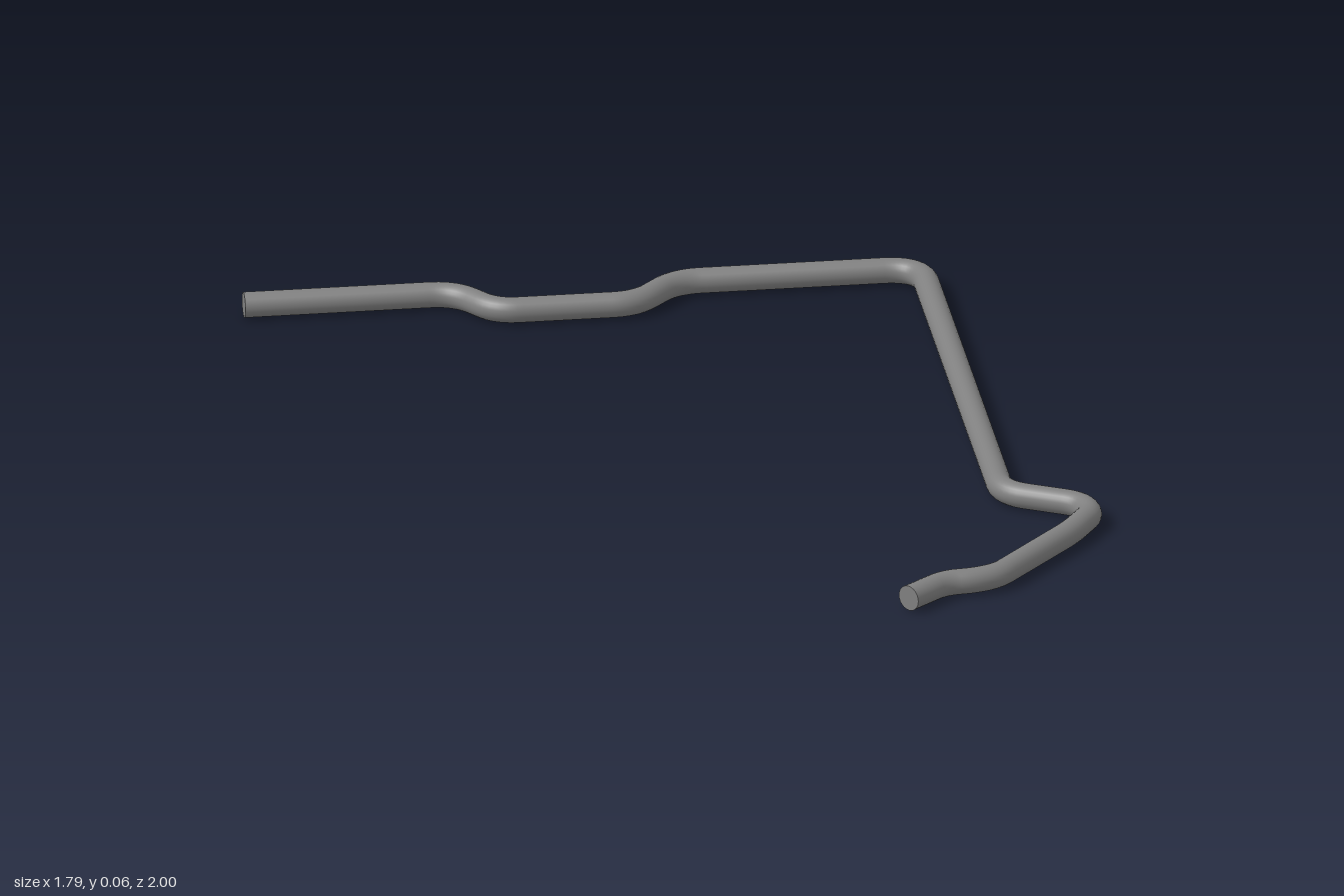
import * as THREE from 'three';

const RADIUS = 0.03;
const SIDES = 24;

// Corners of the bent rod as [x, z, bend length]
const CORNERS = [
  [-0.897, -0.97, 0],
  [-0.405, -0.97, 0.06],
  [-0.325, -0.854, 0.05],
  [0.0, -0.854, 0.055],
  [0.107, -0.97, 0.06],
  [0.68, -0.97, 0.09],
  [0.68, 0.381, 0.06],
  [0.85, 0.473, 0.04],
  [0.867, 0.535, 0.03],
  [0.805, 0.635, 0.04],
  [0.603, 0.868, 0.03],
  [0.545, 0.89, 0.03],
  [0.474, 0.895, 0.035],
  [0.38, 0.975, 0],
];

// Straight runs joined by rounded bends
function bentPath(corners) {
  const points = corners.map(([x, z]) => new THREE.Vector3(x, RADIUS, z));
  const path = new THREE.CurvePath();
  let from = points[0];
  for (let i = 1; i < points.length - 1; i++) {
    const p = points[i];
    const toward = (q) => {
      const d = q.clone().sub(p);
      const reach = Math.min(corners[i][2], d.length() * 0.48);
      return p.clone().addScaledVector(d.normalize(), reach);
    };
    const start = toward(points[i - 1]);
    const end = toward(points[i + 1]);
    path.add(new THREE.LineCurve3(from, start));
    path.add(new THREE.QuadraticBezierCurve3(start, p, end));
    from = end;
  }
  path.add(new THREE.LineCurve3(from, points[points.length - 1]));
  return path;
}

export function createModel() {
  const group = new THREE.Group();
  group.name = 'bentRod';
  const steel = new THREE.MeshStandardMaterial({ color: 0x808080 });
  steel.name = 'grey steel';

  const path = bentPath(CORNERS);
  const rod = new THREE.Mesh(new THREE.TubeGeometry(path, 300, RADIUS, SIDES), steel);
  rod.name = 'rod';
  group.add(rod);

  // Flat discs closing both ends
  for (const [name, t, sign] of [['backEndCap', 0, -1], ['frontEndCap', 1, 1]]) {
    const cap = new THREE.Mesh(new THREE.CircleGeometry(RADIUS, SIDES), steel);
    cap.name = name;
    cap.position.copy(path.getPoint(t));
    const outward = path.getTangent(t).multiplyScalar(sign);
    cap.quaternion.setFromUnitVectors(new THREE.Vector3(0, 0, 1), outward);
    group.add(cap);
  }
  return group;
}
